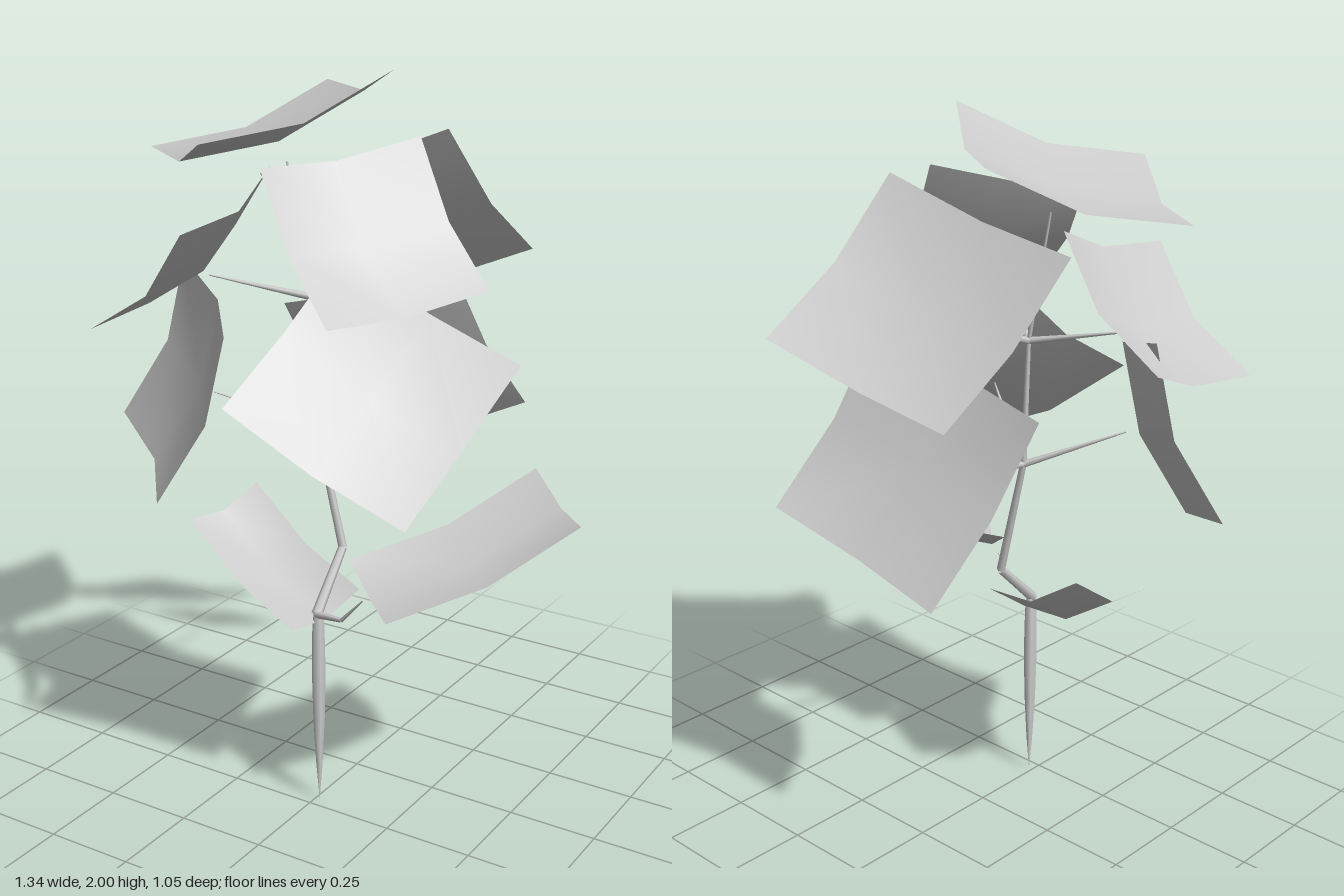
import * as THREE from 'three';

const V = (p) => new THREE.Vector3(...p);
const material = new THREE.MeshStandardMaterial({ color: 0xcccccc, side: THREE.DoubleSide });

// Leaf from one corner and its two neighbours, dished inward on a 2 x 2 grid
function leaf(name, a, b, d) {
  const A = V(a);
  let e1 = V(b).sub(A), e2 = V(d).sub(A);
  const normal = e2.clone().cross(e1).normalize();
  if (normal.y < 0) {
    [e1, e2] = [e2, e1];
    normal.negate();
  }
  const sag = 0.043;
  const geo = new THREE.PlaneGeometry(2, 2, 2, 2);
  const pos = geo.attributes.position;
  for (let i = 0; i < pos.count; i++) {
    const u = pos.getX(i), v = -pos.getY(i);
    const p = A.clone()
      .addScaledVector(e1, (u + 1) / 2)
      .addScaledVector(e2, (v + 1) / 2)
      .addScaledVector(normal, -sag * (2 - u * u - v * v));
    pos.setXYZ(i, p.x, p.y, p.z);
  }
  geo.computeVertexNormals();
  const mesh = new THREE.Mesh(geo, material);
  mesh.name = name;
  return mesh;
}

// Tapered twig running through a few points, radius r0 at the start and r1 at the end
function twig(name, points, r0, r1) {
  const group = new THREE.Group();
  group.name = name;
  const n = points.length - 1;
  for (let i = 0; i < n; i++) {
    const p = V(points[i]), q = V(points[i + 1]), dir = q.clone().sub(p);
    const ra = r0 + (r1 - r0) * i / n, rb = r0 + (r1 - r0) * (i + 1) / n;
    const mesh = new THREE.Mesh(new THREE.CylinderGeometry(rb, ra, dir.length(), 6, 1, true), material);
    mesh.position.copy(p).add(q).multiplyScalar(0.5);
    mesh.quaternion.setFromUnitVectors(new THREE.Vector3(0, 1, 0), dir.normalize());
    mesh.name = name + 'Segment';
    group.add(mesh);
  }
  return group;
}

export function createModel() {
  const plant = new THREE.Group();
  plant.name = 'plant';

  // Spindle-shaped lower stem, pointed at the ground
  const profile = [[0, 0], [0.011, 0.11], [0.02, 0.25], [0.024, 0.4], [0.021, 0.53], [0.015, 0.58]];
  const stem = new THREE.Mesh(
    new THREE.LatheGeometry(profile.map(([r, y]) => new THREE.Vector2(r, y)), 6), material);
  stem.scale.x = 0.7;
  stem.position.set(0.012, 0, 0.218);
  stem.name = 'lowerStem';
  plant.add(stem);

  // Upper stem and its three forks
  const base = [0.012, 0.57, 0.225], fork1 = [-0.085, 1.05, 0.07], fork2 = [-0.1, 1.4, 0.07];
  plant.add(
    twig('upperStem', [base, [0, 0.71, 0.075], fork1, fork2, [-0.17, 1.75, 0.07]], 0.015, 0.003),
    twig('lowTwig', [base, [0.1, 0.58, 0.24], [0.17, 0.655, 0.25]], 0.011, 0.002),
  );
  const twigs = [
    ['middleTwigRight', fork1, [-0.3, 1.15, 0.24]],
    ['middleTwigLeft', fork1, [0.14, 1.2, 0.2]],
    ['middleTwigBack', fork1, [-0.06, 1.09, -0.24]],
    ['upperTwigRight', fork2, [-0.35, 1.45, 0.18]],
    ['upperTwigLeft', fork2, [0.12, 1.55, 0.19]],
    ['upperTwigBack', fork2, [-0.05, 1.49, -0.19]],
  ];
  for (const [name, from, to] of twigs) plant.add(twig(name, [from, to], 0.01, 0.002));

  // Leaves: corner, then its two neighbouring corners
  const leaves = [
    ['topLeaf', [-0.27, 1.92, -0.28], [0.135, 2, 0.045], [-0.57, 1.765, 0.13]],
    ['upperLeafLeft', [0.187, 1.835, 0], [0.45, 1.495, 0.115], [-0.04, 1.79, 0.38]],
    ['upperLeafRight', [-0.6, 1.43, -0.03], [-0.565, 1.325, 0.415], [-0.26, 1.725, 0.015]],
    ['upperLeafBack', [0.257, 1.46, -0.52], [0.185, 1.835, -0.148], [-0.275, 1.31, -0.43]],
    ['middleLeafLeft', [0.48, 1.28, -0.01], [0.03, 1.55, 0.11], [0.388, 0.95, 0.407]],
    ['middleLeafRight', [-0.672, 1.01, 0.17], [-0.307, 0.91, 0.49], [-0.495, 1.465, 0.1]],
    ['middleLeafBack', [-0.245, 0.838, -0.45], [0.25, 1.007, -0.52], [-0.355, 1.295, -0.178]],
    ['lowLeafLeft', [0.455, 0.95, -0.175], [0.665, 0.88, -0.01], [0.1, 0.74, 0.2]],
    ['lowLeafRight', [-0.345, 0.805, -0.01], [-0.425, 0.745, 0.2], [0.075, 0.615, 0.11]],
  ];
  for (const spec of leaves) plant.add(leaf(...spec));
  return plant;
}
